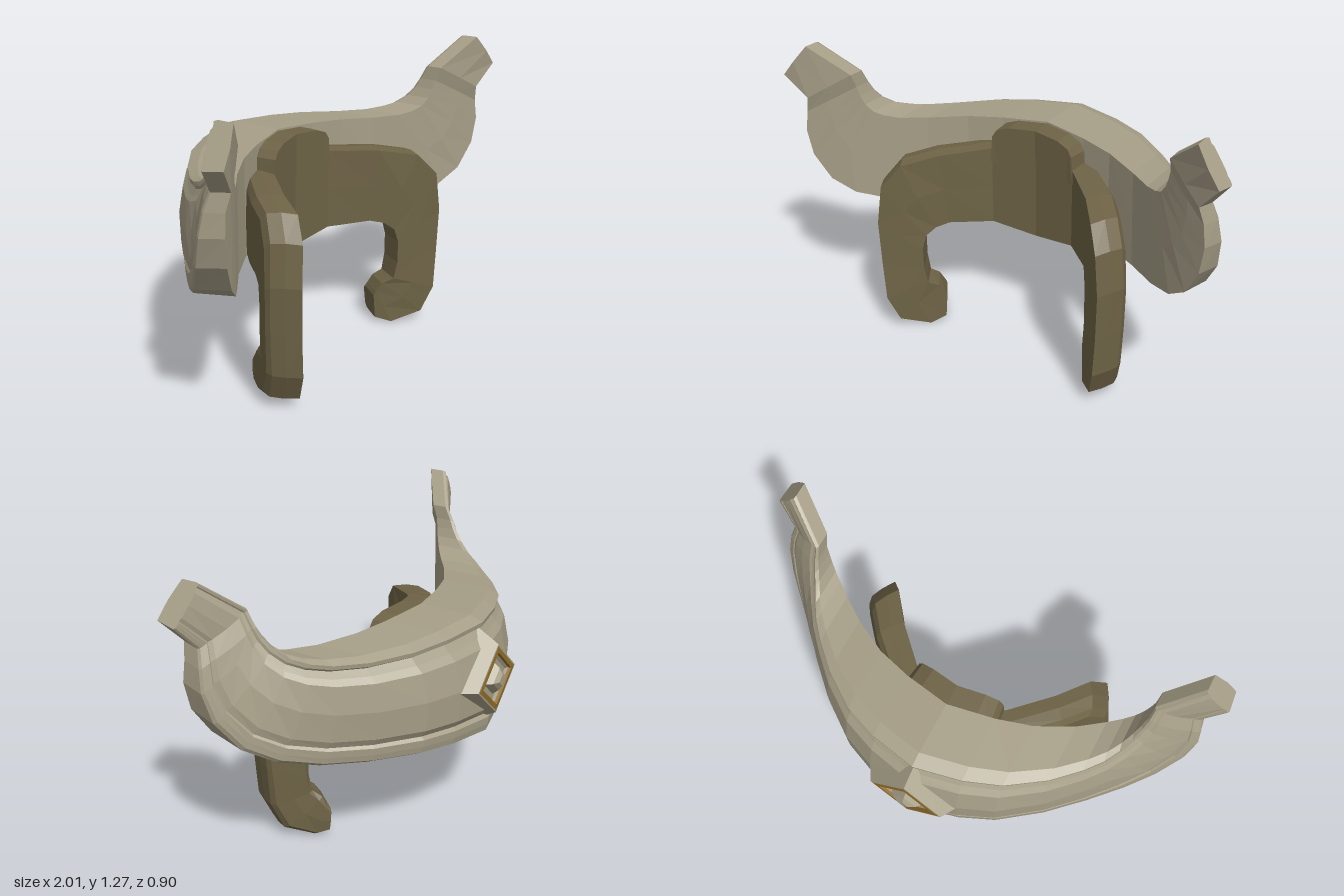
import * as THREE from 'three';

const material = (name, color) => {
  const m = new THREE.MeshStandardMaterial({ color, side: THREE.DoubleSide });
  m.name = name;
  return m;
};

// Piecewise linear curve, symmetric in x
const curve = (points) => (x) => {
  const v = Math.abs(x);
  for (let i = 1; i < points.length; i++) {
    const [x0, z0] = points[i - 1], [x1, z1] = points[i];
    if (v <= x1) return z0 + (z1 - z0) * (v - x0) / (x1 - x0);
  }
  return points[points.length - 1][1];
};

// Mirrored band. A station is [x0, y0, x1, y1, shift, depth]; the section is
// a loop of [t, d]: t runs across the station, d from the front to the back.
// spread gives the step [dx, dz] from the front face to the back face.
function mirroredBand(stations, section, front, spread) {
  const flip = ([x0, y0, x1, y1, s, d]) => [-x0, y0, -x1, y1, s, d];
  const all = [...stations.slice(1).reverse().map(flip), ...stations];
  const rings = all.map(([x0, y0, x1, y1, shift, depth]) => section.map(([t, d]) => {
    const x = x0 + (x1 - x0) * t, y = y0 + (y1 - y0) * t;
    const [dx, dz] = spread(x, depth);
    return [x + Math.sign(x) * dx * d, y, front(x) + dz * d + shift];
  }));
  const pos = [];
  const n = section.length;
  const centre = (ring) => [0, 1, 2].map((k) => ring.reduce((s, p) => s + p[k], 0) / n);
  const last = rings[rings.length - 1];
  const c0 = centre(rings[0]), c1 = centre(last);
  for (let j = 0; j < n; j++) {
    const k = (j + 1) % n;
    for (let i = 0; i + 1 < rings.length; i++) {
      const r = rings[i], q = rings[i + 1];
      pos.push(...r[j], ...q[j], ...r[k], ...q[j], ...q[k], ...r[k]);
    }
    pos.push(...c0, ...rings[0][j], ...rings[0][k]);
    pos.push(...c1, ...last[k], ...last[j]);
  }
  const g = new THREE.BufferGeometry();
  g.setAttribute('position', new THREE.Float32BufferAttribute(pos, 3));
  g.computeVertexNormals();
  return g;
}

// Four-sided ring or pyramid pointing backwards, from [radius, height] pairs
function diamond(profile) {
  const g = new THREE.LatheGeometry(profile.map((p) => new THREE.Vector2(...p)), 4).toNonIndexed();
  g.rotateX(-Math.PI / 2);
  g.computeVertexNormals();
  return g;
}

export function createModel() {
  const group = new THREE.Group();
  const stone = material('pale stone', 0xa69e87);
  const brown = material('dark brown', 0x6e6346);
  const gold = material('dull gold', 0x8f6c28);
  const add = (name, geometry, mat, parent = group) => {
    const mesh = new THREE.Mesh(geometry, mat);
    mesh.name = name;
    parent.add(mesh);
    return mesh;
  };

  // Outer band sweeping round into two upturned horns
  const bandFront = curve([[0, -0.06], [0.3, 0.0], [0.5, 0.11], [0.65, 0.22],
    [0.77, 0.31], [0.87, 0.37], [0.95, 0.41], [1, 0.42]]);
  const bandStations = [
    [0, 0.465, 0, 0.965, 0, 0.35],
    [0.2, 0.482, 0.2, 0.953, 0, 0.345],
    [0.35, 0.495, 0.35, 0.942, 0, 0.33],
    [0.52, 0.505, 0.5, 0.93, 0, 0.3],
    [0.66, 0.52, 0.6, 0.932, 0, 0.27],
    [0.78, 0.56, 0.655, 0.945, 0, 0.24],
    [0.87, 0.63, 0.69, 0.965, 0, 0.2],
    [0.935, 0.75, 0.715, 1.0, 0, 0.16],
    [0.953, 0.87, 0.73, 1.04, 0, 0.13],
    [0.94, 0.96, 0.74, 1.08, 0, 0.11],
    [0.92, 1.03, 0.745, 1.14, 0.02, 0.1],
    [1.0, 1.13, 0.89, 1.27, 0.03, 0.1],
  ];
  const bandSection = [
    [0.05, 0], [0.5, 0], [1, 0], [1, 0.66], [0.96, 0.83], [0.92, 0.82], [0.9, 0.77],
    [0.83, 0.84], [0.77, 0.92], [0.5, 1], [0.22, 0.98], [0.15, 0.91], [0.12, 0.95],
    [0.05, 0.94], [-0.01, 0.92], [-0.04, 0.84],
  ];
  add('hornedBand', mirroredBand(bandStations, bandSection, bandFront, (x, depth) => [0, -depth]), stone);

  // Inner arch with two legs that end in hooked feet
  const archFront = curve([[0, 0.03], [0.2, 0.065], [0.3, 0.14], [0.36, 0.23], [0.41, 0.31],
    [0.52, 0.43], [0.545, 0.445]]);
  const archDx = curve([[0, 0], [0.2, 0.02], [0.36, 0.08], [0.41, 0.07], [0.545, 0.065]]);
  const archDz = curve([[0, -0.15], [0.2, -0.15], [0.36, -0.1], [0.41, -0.12], [0.545, -0.13]]);
  const archSpread = (x) => [archDx(x), archDz(x)];
  const archStations = [
    [0, 0.455, 0, 0.85, 0],
    [0.2, 0.485, 0.2, 0.84, 0],
    [0.34, 0.5, 0.36, 0.83, 0],
    [0.375, 0.49, 0.46, 0.81, 0],
    [0.4, 0.46, 0.52, 0.72, 0],
    [0.41, 0.4, 0.54, 0.55, 0],
    [0.41, 0.3, 0.535, 0.35, 0],
    [0.4, 0.22, 0.525, 0.17, 0.005],
    [0.375, 0.19, 0.49, 0.05, 0],
    [0.36, 0.15, 0.4, 0, 0],
    [0.355, 0.13, 0.36, 0.02, 0],
  ];
  const archSection = [
    [0, 0], [0.5, 0], [1, 0], [1.02, 0.45], [1, 0.85],
    [0.9, 1], [0.5, 1.03], [0.1, 1], [0, 0.88],
  ];
  add('archWithLegs', mirroredBand(archStations, archSection, archFront, archSpread), brown);

  // Raised tab on the crown of the arch
  const tabStations = [
    [0, 0.78, 0, 0.957, 0.004],
    [0.12, 0.78, 0.12, 0.95, 0.004],
    [0.175, 0.78, 0.175, 0.93, 0.004],
    [0.205, 0.78, 0.195, 0.9, 0.004],
  ];
  add('crownTab', mirroredBand(tabStations, [[0, 0], [1, 0], [1, 1], [0, 1]], archFront, archSpread), brown);

  // Diamond setting at the back, with a recessed pocket for the gem
  const setting = new THREE.Group();
  setting.name = 'backOrnament';
  setting.position.set(0, 0.71, -0.32);
  setting.scale.x = 1.06;
  group.add(setting);
  add('diamondMount', diamond([[0.215, 0], [0.155, 0.105], [0.146, 0.106]]), stone, setting);
  add('goldRim', diamond([[0.146, 0.106], [0.118, 0.108], [0.116, 0.095]]), gold, setting);
  add('pocket', diamond([[0.116, 0.095], [0.1, 0.086], [0, 0.086]]), stone, setting);
  add('gem', diamond([[0.075, 0.084], [0.05, 0.115], [0.025, 0.13], [0, 0.13]]), stone, setting);

  return group;
}
